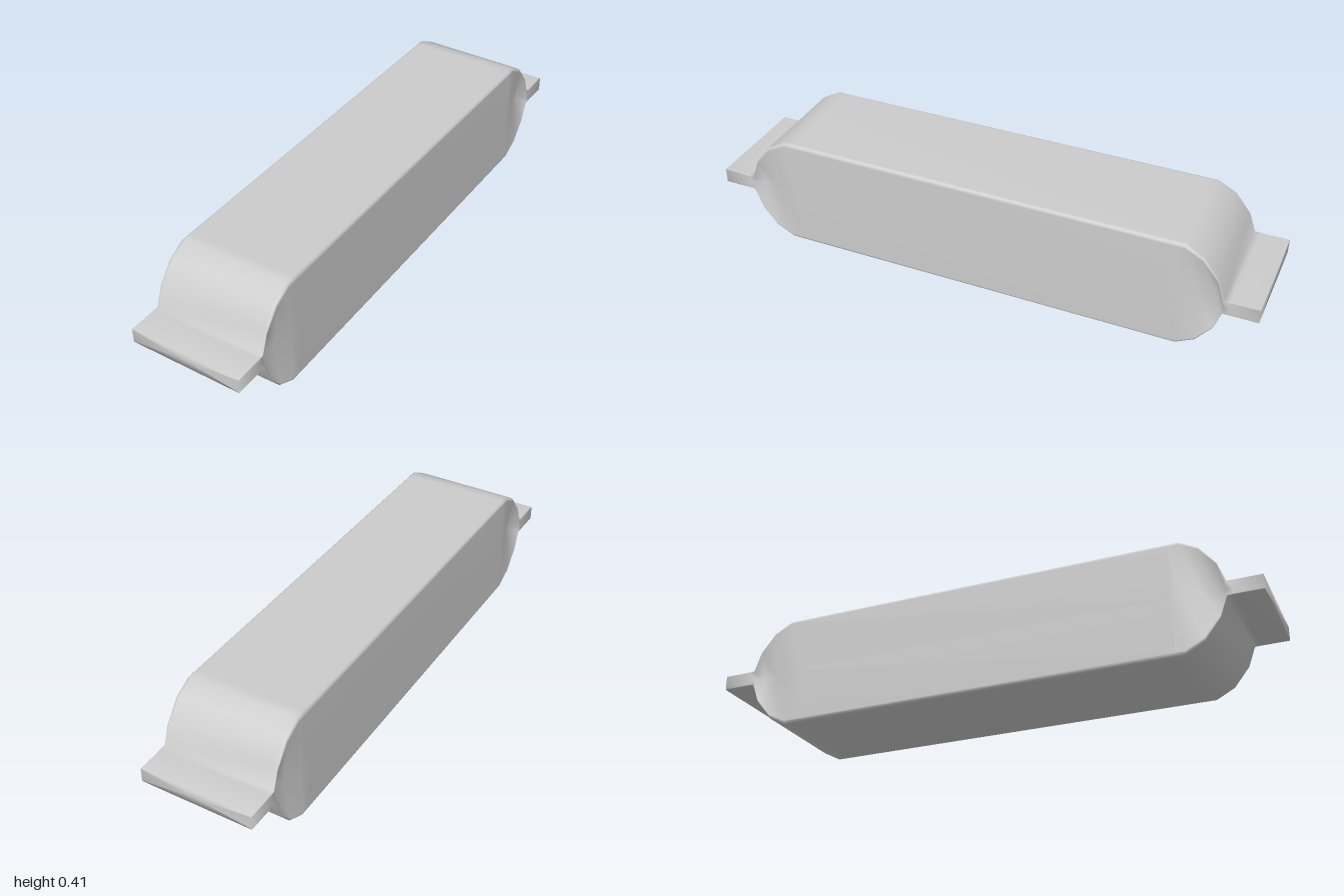
import * as THREE from 'three';

const W = 0.204;   // half width
const MID = 0.206; // height of the centre line

// Half cross-sections from the centre to the end: z, half height, corner radius, depth of the side fold
const HALF = [
  [0.70, 0.205, 0.014, 0],
  [0.735, 0.205, 0.014, 0],
  [0.80, 0.170, 0.012, 0.022],
  [0.855, 0.100, 0.008, 0.035],
  [0.88, 0.028, 0.003, 0],
  [0.90, 0.027, 0.003, 0],
  [1.00, 0.027, 0.003, 0],
];

// Rounded rectangle whose two side midpoints are tucked inwards
function section([z, h, r, fold]) {
  const pts = [];
  const corners = [[1, 1, 0], [-1, 1, 90], [-1, -1, 180], [1, -1, 270]];
  corners.forEach(([sx, sy, start], i) => {
    for (let k = 0; k <= 3; k++) {
      const a = THREE.MathUtils.degToRad(start + k * 30);
      pts.push([sx * (W - r) + r * Math.cos(a), MID + sy * (h - r) + r * Math.sin(a), z]);
    }
    if (i === 1) pts.push([-W + fold, MID, z]);
    if (i === 3) pts.push([W - fold, MID, z]);
  });
  return pts;
}

// Skin a list of sections running from -z to +z and close both ends
function loft(rows) {
  const rings = rows.map(section);
  const n = rings[0].length;
  const pos = rings.flat(2);
  const idx = [];
  for (let i = 0; i < rings.length - 1; i++) {
    for (let j = 0; j < n; j++) {
      const a = i * n + j, b = i * n + (j + 1) % n;
      idx.push(a, b, b + n, a, b + n, a + n);
    }
  }
  const last = (rings.length - 1) * n;
  const c0 = pos.length / 3;
  pos.push(0, MID, rows[0][0], 0, MID, rows[rows.length - 1][0]);
  for (let j = 0; j < n; j++) {
    const k = (j + 1) % n;
    idx.push(c0, k, j, c0 + 1, last + j, last + k);
  }
  const geo = new THREE.BufferGeometry();
  geo.setAttribute('position', new THREE.Float32BufferAttribute(pos, 3));
  geo.setIndex(idx);
  geo.computeVertexNormals();
  return geo;
}

export function createModel() {
  const model = new THREE.Group();
  model.name = 'wrappedBar';
  const material = new THREE.MeshStandardMaterial({ color: 0xcccccc });

  // Wrapper: long body, bulging folded ends and flat sealed tabs in one skin
  const back = HALF.map(([z, ...rest]) => [-z, ...rest]).reverse();
  const wrapper = new THREE.Mesh(loft([...back, ...HALF]), material);
  wrapper.name = 'wrapper';
  model.add(wrapper);
  return model;
}
